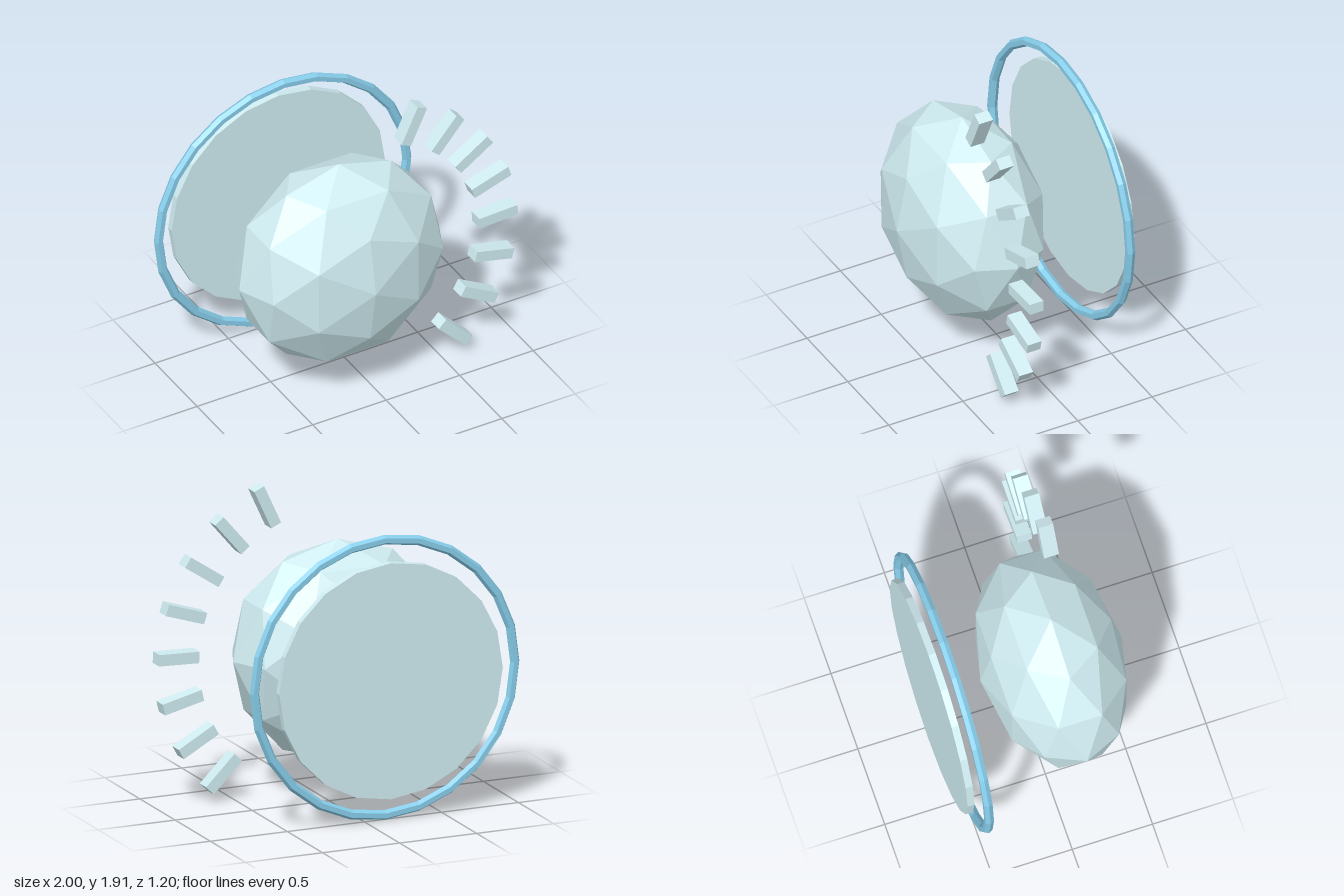
import * as THREE from 'three';

const CENTRE_X = -0.127;
const CENTRE_Y = 0.877;

export function createModel() {
  const model = new THREE.Group();
  const pale = new THREE.MeshStandardMaterial({ color: 0xcfecf1, flatShading: true });
  const blue = new THREE.MeshStandardMaterial({ color: 0x87ceeb, flatShading: true });

  const add = (name, geometry, material, x, y, z) => {
    const mesh = new THREE.Mesh(geometry, material);
    mesh.name = name;
    mesh.position.set(x, y, z);
    model.add(mesh);
    return mesh;
  };

  // Faceted orb, flattened front to back
  const orb = new THREE.IcosahedronGeometry(1, 1).scale(0.678, 0.678, 0.44);
  add('orb', orb, pale, CENTRE_X, CENTRE_Y, 0.16);

  // Thin ring behind the orb
  add('ring', new THREE.TorusGeometry(0.845, 0.03, 6, 24), blue, CENTRE_X, CENTRE_Y, -0.508);

  // Backing disc behind the ring
  const disc = new THREE.CylinderGeometry(0.725, 0.725, 0.044, 20).rotateX(Math.PI / 2);
  add('backDisc', disc, pale, CENTRE_X, CENTRE_Y, -0.58);

  // Fan of eight rays on the left side, from upper to lower
  const rayCount = 8;
  const rayRadius = 0.995;
  const rayGeometry = new THREE.BoxGeometry(0.26, 0.07, 0.092);
  for (let i = 0; i < rayCount; i++) {
    const angle = THREE.MathUtils.degToRad(65 - (110 * i) / (rayCount - 1));
    const ray = add('ray' + (i + 1), rayGeometry, pale,
      CENTRE_X + rayRadius * Math.cos(angle),
      CENTRE_Y + rayRadius * Math.sin(angle),
      0.276);
    ray.rotation.z = angle;
  }

  return model;
}
